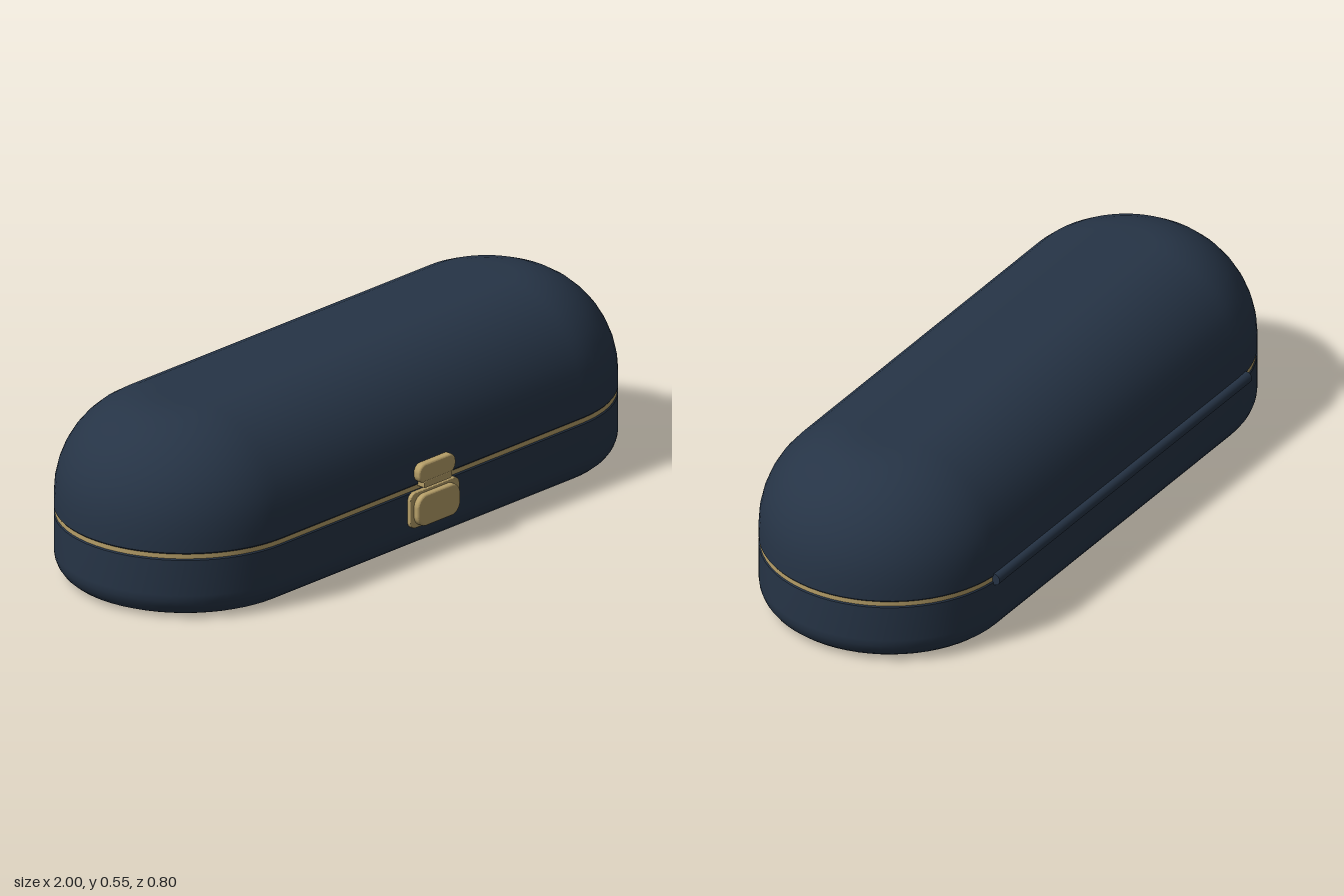
import * as THREE from 'three';

const HALF_STRAIGHT = 0.626; // half length of the straight sides
const CENTRE_Z = -0.004;

// Sweeps a [radius, y] profile (bottom to top) around a stadium outline.
// A repeated profile point makes a sharp edge.
function stadiumLoft(profile, arcSteps = 32) {
  const positions = [], indices = [];
  const count = 2 * (arcSteps + 1);
  for (const [r, y] of profile) {
    for (const side of [1, -1]) {
      for (let i = 0; i <= arcSteps; i++) {
        const a = Math.PI * i / arcSteps;
        positions.push(side * (HALF_STRAIGHT + r * Math.sin(a)), y, CENTRE_Z + side * r * Math.cos(a));
      }
    }
  }
  for (let j = 0; j < profile.length - 1; j++) {
    const [p, q] = [profile[j], profile[j + 1]];
    if (p[0] === q[0] && p[1] === q[1]) continue;
    for (let i = 0; i < count; i++) {
      const a = j * count + i, b = j * count + (i + 1) % count;
      indices.push(a, b, b + count, a, b + count, a + count);
    }
  }
  const geometry = new THREE.BufferGeometry();
  geometry.setAttribute('position', new THREE.Float32BufferAttribute(positions, 3));
  geometry.setIndex(indices);
  geometry.computeVertexNormals();
  return geometry;
}

// Quarter ellipse of profile points
function arc(cx, cy, rx, ry, from, to, steps) {
  return Array.from({ length: steps + 1 }, (_, i) => {
    const a = from + (to - from) * i / steps;
    return [cx + rx * Math.cos(a), cy + ry * Math.sin(a)];
  });
}

// Rounded plate with a bevelled front, spanning z0 to z1
function plate(width, height, radius, z0, z1, bevel) {
  const w = width / 2 - bevel, h = height / 2 - bevel, r = Math.max(radius - bevel, 0.002);
  const shape = new THREE.Shape();
  shape.absarc(w - r, h - r, r, 0, Math.PI / 2);
  shape.absarc(-w + r, h - r, r, Math.PI / 2, Math.PI);
  shape.absarc(-w + r, -h + r, r, Math.PI, Math.PI * 1.5);
  shape.absarc(w - r, -h + r, r, Math.PI * 1.5, Math.PI * 2);
  const geometry = new THREE.ExtrudeGeometry(shape, {
    depth: z1 - z0 - 2 * bevel, bevelEnabled: true, bevelSize: bevel,
    bevelThickness: bevel, bevelSegments: 4, curveSegments: 8,
  });
  return geometry.translate(0, 0, z0 + bevel);
}

export function createModel() {
  const navy = new THREE.MeshStandardMaterial({ name: 'navy shell', color: 0x263446 });
  const gold = new THREE.MeshStandardMaterial({ name: 'brass', color: 0xb59e68 });

  const model = new THREE.Group();
  model.name = 'case';
  const add = (name, geometry, material, parent = model) => {
    const mesh = new THREE.Mesh(geometry, material);
    mesh.name = name;
    parent.add(mesh);
    return mesh;
  };

  // Lower shell: flat bottom, rounded foot, straight wall
  add('base', stadiumLoft([
    [0, 0], [0.304, 0], [0.304, 0],
    ...arc(0.304, 0.075, 0.07, 0.075, -Math.PI / 2, 0, 6),
    [0.374, 0.184], [0.374, 0.184], [0.371, 0.188], [0.371, 0.188], [0, 0.188],
  ]), navy);

  // Metal trim between the two shells
  add('trimBand', stadiumLoft([
    [0, 0.187], [0.371, 0.187], [0.371, 0.187], [0.371, 0.203], [0.371, 0.203], [0, 0.203],
  ]), gold);

  // Domed lid
  add('lid', stadiumLoft([
    [0, 0.202], [0.371, 0.202], [0.371, 0.202], [0.374, 0.206], [0.374, 0.206],
    ...arc(0.085, 0.245, 0.289, 0.3, 0, Math.PI / 2, 10),
    [0, 0.545],
  ]), navy);

  // Hinge rod along the back
  const hinge = add('hinge', new THREE.CylinderGeometry(0.018, 0.018, 1.34, 20), navy);
  hinge.rotation.z = Math.PI / 2;
  hinge.position.set(-0.005, 0.195, -0.379);

  // Front clasp
  const clasp = new THREE.Group();
  clasp.name = 'clasp';
  model.add(clasp);
  add('claspBackPlate', plate(0.204, 0.108, 0.022, 0.364, 0.382, 0.003), gold, clasp).position.y = 0.132;
  add('claspButton', plate(0.176, 0.096, 0.036, 0.374, 0.4, 0.007), gold, clasp).position.y = 0.13;
  add('claspTongue', plate(0.116, 0.022, 0.006, 0.364, 0.394, 0.003), gold, clasp).position.y = 0.207;
  add('claspCatch', plate(0.152, 0.058, 0.026, 0.366, 0.393, 0.007), gold, clasp).position.y = 0.24;

  return model;
}
